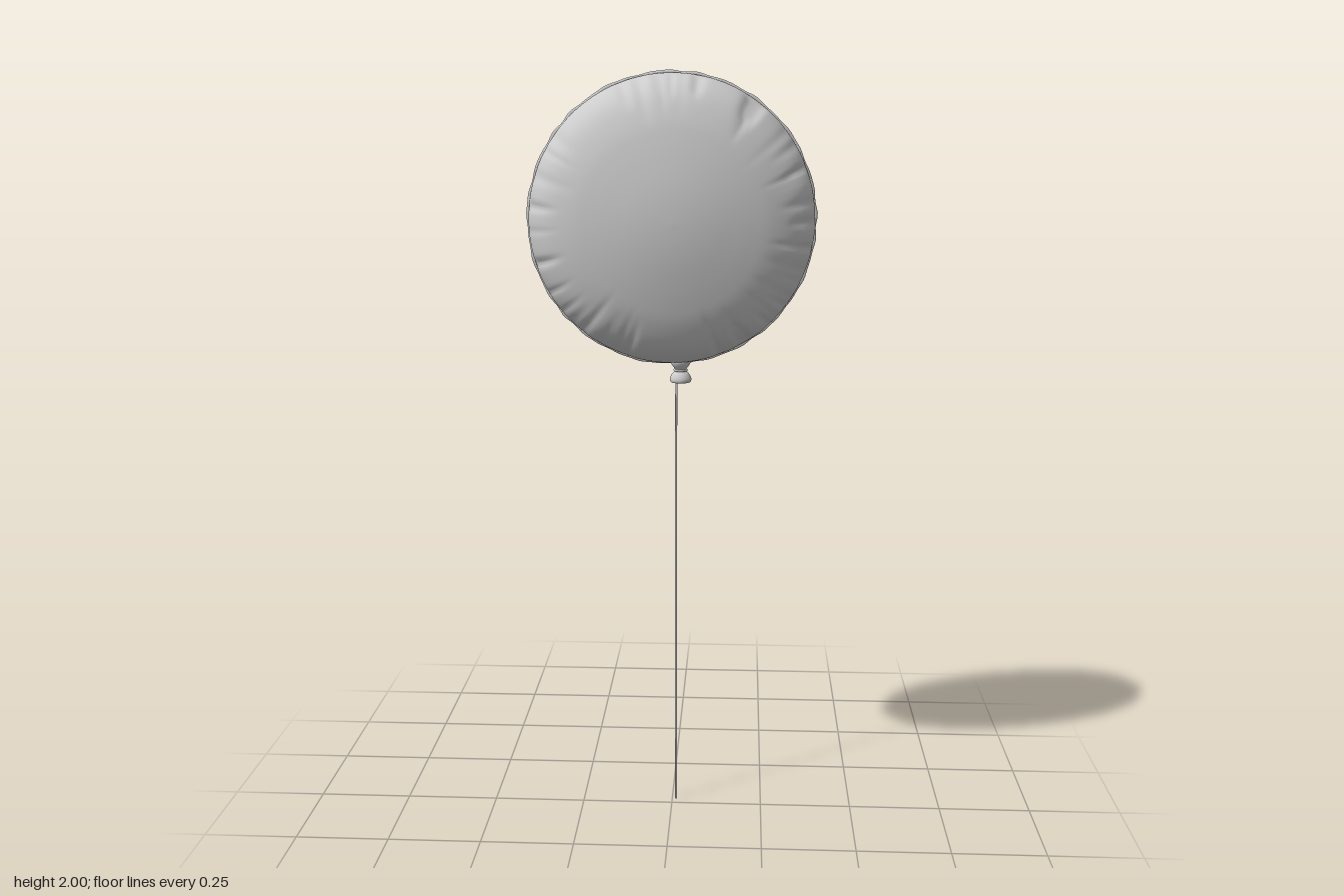
import * as THREE from 'three';
import { mergeVertices } from 'three/addons/utils/BufferGeometryUtils.js';

const material = new THREE.MeshStandardMaterial({ color: 0xcccccc, side: THREE.DoubleSide });

function seeded(seed) {
  return () => {
    seed = (seed * 16807) % 2147483647;
    return seed / 2147483647;
  };
}

function addMesh(parent, name, geometry) {
  const mesh = new THREE.Mesh(geometry, material);
  mesh.name = name;
  parent.add(mesh);
  return mesh;
}

// Radial creases that fan in from the rim, one set for each side of the foil
function makeCreases(seed, count) {
  const random = seeded(seed);
  return Array.from({ length: count }, () => ({
    angle: random() * Math.PI * 2,
    width: 0.02 + random() * 0.035,
    depth: 0.002 + random() * 0.005,
    inner: 0.2 + random() * 0.1,
  }));
}

function creaseDepth(creases, angle, r) {
  let depth = 0;
  for (const c of creases) {
    const d = Math.atan2(Math.sin(angle - c.angle), Math.cos(angle - c.angle)) / c.width;
    depth += c.depth * Math.exp(-d * d) * THREE.MathUtils.smoothstep(r, c.inner, 0.34);
  }
  return Math.min(depth, 0.009);
}

// Two pillowed foil sheets, revolved around the front-to-back axis
function foilGeometry() {
  const half = [
    [0.366, 0.008], [0.365, 0.025], [0.355, 0.053], [0.333, 0.083], [0.3, 0.107],
    [0.25, 0.128], [0.2, 0.141], [0.15, 0.151], [0.1, 0.159], [0.05, 0.164], [0, 0.166],
  ].map(([r, h]) => new THREE.Vector2(r, h));
  const upper = new THREE.SplineCurve(half).getPoints(44);
  upper.forEach((p) => { p.x = Math.max(p.x, 0); });
  const lower = upper.map((p) => new THREE.Vector2(p.x, -p.y)).reverse();

  let geometry = new THREE.LatheGeometry([...lower, ...upper], 288);
  geometry.deleteAttribute('uv');
  geometry.deleteAttribute('normal');
  geometry = mergeVertices(geometry, 1e-5);
  const sides = [makeCreases(41, 46), makeCreases(977, 46)];
  const position = geometry.attributes.position;
  const p = new THREE.Vector3();
  for (let i = 0; i < position.count; i++) {
    p.fromBufferAttribute(position, i);
    const r = Math.hypot(p.x, p.z);
    const angle = Math.atan2(p.z, p.x);
    const depth = creaseDepth(sides[p.y > 0 ? 0 : 1], angle, r);
    // Creases fade out where the sheets meet the seam
    const scale = 1 - depth * THREE.MathUtils.smoothstep(Math.abs(p.y), 0.005, 0.05) / 0.3;
    position.setXYZ(i, p.x * scale, p.y * scale, p.z * scale);
  }
  geometry.rotateX(Math.PI / 2);
  geometry.computeVertexNormals();
  return geometry;
}

// Thin, slightly rippled welded edge
function seamGeometry() {
  const geometry = new THREE.TorusGeometry(0.366, 0.006, 8, 240);
  const position = geometry.attributes.position;
  for (let i = 0; i < position.count; i++) {
    const x = position.getX(i), y = position.getY(i);
    const a = Math.atan2(y, x);
    const ripple = 1 + 0.004 * Math.sin(a * 23 + 2 * Math.sin(a * 5)) + 0.002 * Math.sin(a * 41);
    position.setXYZ(i, x * ripple, y * ripple,
      position.getZ(i) * 0.8 + 0.0015 * Math.sin(a * 17 + Math.sin(a * 4)));
  }
  geometry.computeVertexNormals();
  return geometry;
}

export function createModel() {
  const model = new THREE.Group();
  model.name = 'foilBalloon';

  const balloon = new THREE.Group();
  balloon.name = 'balloon';
  balloon.position.set(0, 1.627, -0.003);
  balloon.rotation.y = 0.05;
  model.add(balloon);
  addMesh(balloon, 'foilBody', foilGeometry());
  addMesh(balloon, 'rimSeam', seamGeometry());

  // Pinched neck flaring into the tied end, hollow underneath
  const knotProfile = [
    [0.001, 1.222], [0.014, 1.214], [0.022, 1.207], [0.027, 1.209], [0.028, 1.217],
    [0.023, 1.228], [0.016, 1.236], [0.015, 1.242], [0.021, 1.25], [0.026, 1.26], [0.026, 1.272],
  ].map(([r, y]) => new THREE.Vector2(r, y));
  const knot = addMesh(model, 'knot',
    new THREE.LatheGeometry(new THREE.SplineCurve(knotProfile).getPoints(40), 32));
  knot.position.set(0.023, 0, -0.003);

  // String wound around the neck
  const loop = addMesh(model, 'stringLoop', new THREE.TorusGeometry(0.016, 0.003, 8, 32));
  loop.rotation.x = Math.PI / 2;
  loop.position.set(0.023, 1.239, -0.003);

  // Long hanging string
  const path = new THREE.CatmullRomCurve3([
    new THREE.Vector3(0.018, 1.239, -0.019),
    new THREE.Vector3(0.013, 1.225, -0.029),
    new THREE.Vector3(0.011, 1.19, -0.03),
    new THREE.Vector3(0.01, 0.8, -0.029),
    new THREE.Vector3(0.01, 0.4, -0.028),
    new THREE.Vector3(0.011, 0, -0.026),
  ]);
  addMesh(model, 'string', new THREE.TubeGeometry(path, 80, 0.003, 8));

  return model;
}
